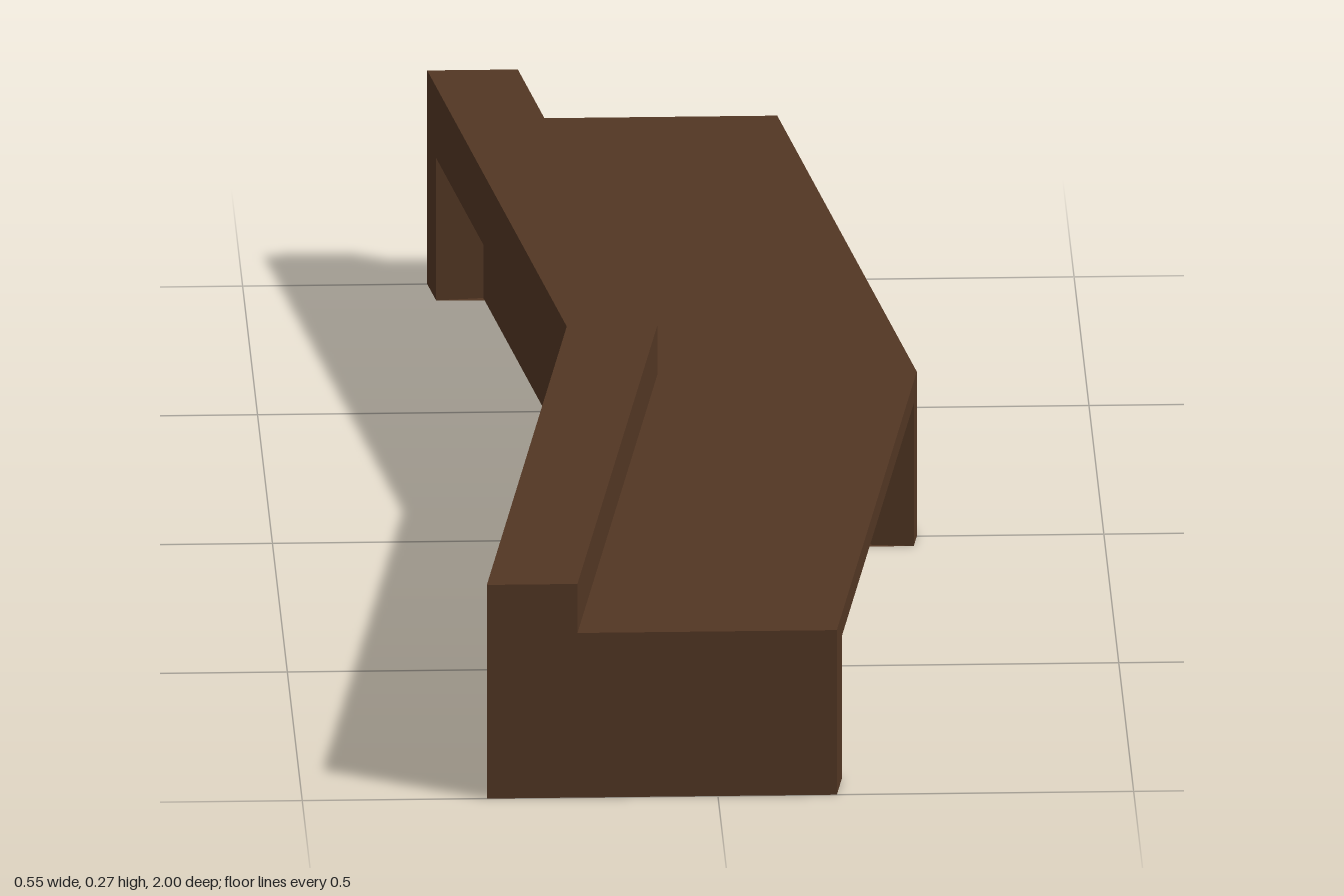
import * as THREE from 'three';

const SLOPE = 0.132;              // sideways run of the bend per unit of z
const L = -0.278, R = 0.143;      // side edges at the two ends
const DECK = 0.208, TOP = 0.27;

// Skin a list of rings (front to back), capping both ends, with hard edges.
function loft(rings) {
  const pos = [];
  const tri = (a, b, c) => {
    const n = b.clone().sub(a).cross(c.clone().sub(a));
    if (n.length() > 1e-9) for (const p of [a, b, c]) pos.push(p.x, p.y, p.z);
  };
  const n = rings[0].length;
  for (let r = 0; r < rings.length - 1; r++) {
    const A = rings[r], B = rings[r + 1];
    for (let i = 0; i < n; i++) {
      const j = (i + 1) % n;
      tri(A[i], B[i], A[j]);
      tri(A[j], B[i], B[j]);
    }
  }
  const first = rings[0], last = rings[rings.length - 1];
  for (let i = 1; i < n - 1; i++) {
    tri(first[0], first[i], first[i + 1]);
    tri(last[0], last[i + 1], last[i]);
  }
  const g = new THREE.BufferGeometry();
  g.setAttribute('position', new THREE.Float32BufferAttribute(pos, 3));
  g.computeVertexNormals();
  return g;
}

// Place an [x, y, zShift] profile at a station, following the bend.
function ring(profile, z) {
  const side = Math.sign(z);
  return profile.map(([x, y, dz = 0]) => {
    const pz = z + side * dz;
    return new THREE.Vector3(x + SLOPE * (1 - Math.abs(pz)), y, pz);
  });
}

// Body section; the recesses under the edges have sloping ceilings.
function section(dl, dr) {
  const lip = 0.18, k = 0.65;
  const yl = lip - 0.058 * k, yr = lip - 0.097 * k;
  const zl = dl * SLOPE, zr = -dr * SLOPE;
  return [
    [L + dl, 0, zl], [R - dr, 0, zr], [R - dr, yr, zr], [R, lip],
    [R, DECK], [L, DECK], [L, lip], [L + dl, yl, zl],
  ];
}

export function createModel() {
  const group = new THREE.Group();
  group.name = 'bentWalkway';
  const wood = new THREE.MeshStandardMaterial({ color: 0x523623 });
  wood.name = 'darkBrown';

  // Deck with solid end posts and centre pier, recessed in between
  const solid = section(0, 0), hollow = section(0.058, 0.097);
  const END = 0.936, PIER = 0.038;
  const stations = [
    [solid, 1], [solid, END], [hollow, END], [hollow, PIER], [solid, PIER], [solid, 0],
    [solid, -PIER], [hollow, -PIER], [hollow, -END], [solid, -END], [solid, -1],
  ];
  const deck = new THREE.Mesh(loft(stations.map(([p, z]) => ring(p, z))), wood);
  deck.name = 'deck';

  // Raised kerb along one edge
  const kerbProfile = [[L, DECK], [L + 0.109, DECK], [L + 0.109, TOP], [L, TOP]];
  const kerb = new THREE.Mesh(loft([1, 0, -1].map((z) => ring(kerbProfile, z))), wood);
  kerb.name = 'kerb';

  group.add(deck, kerb);
  return group;
}
